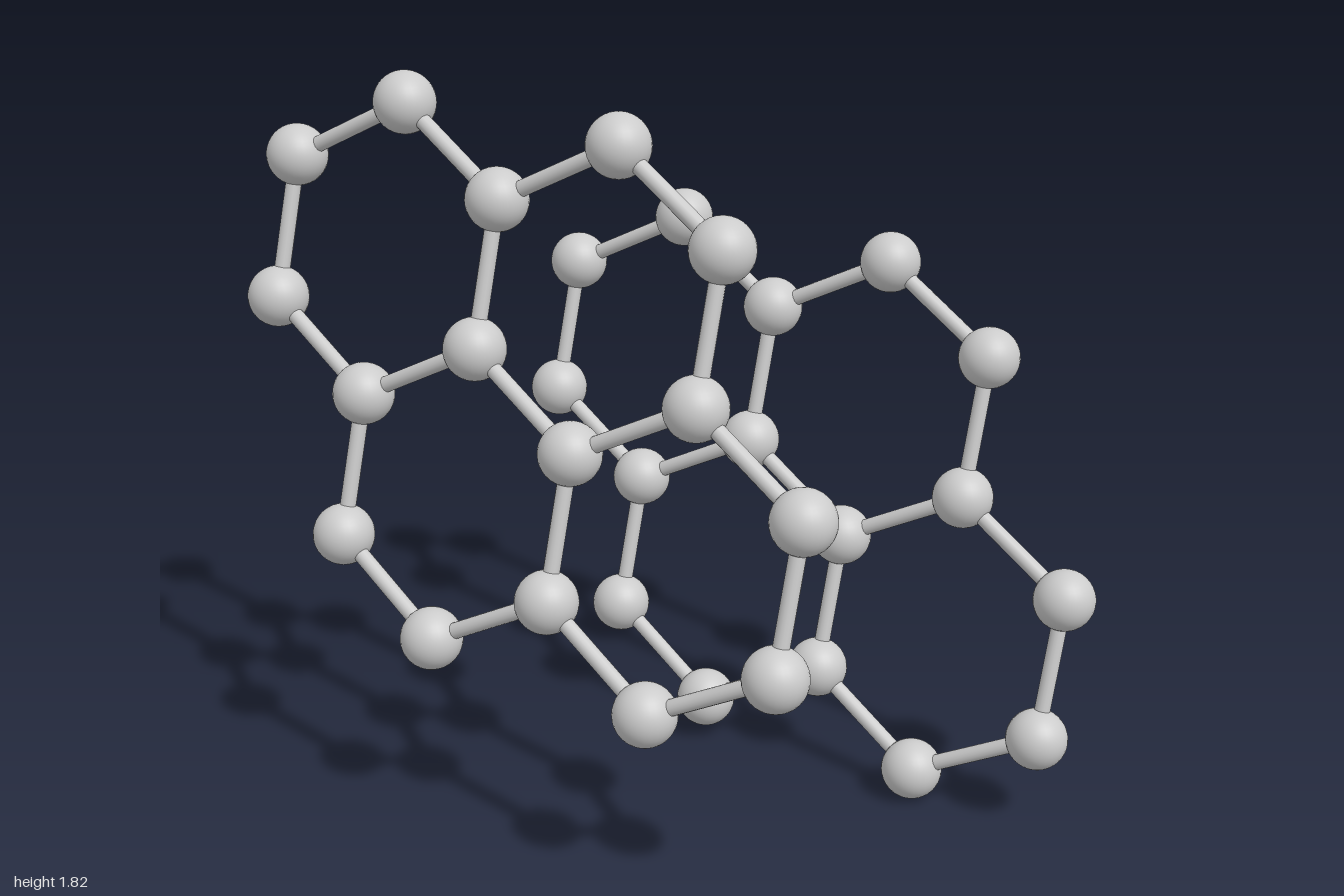
import * as THREE from 'three';

const ATOM_R = 0.077, BOND_R = 0.02, MID_Y = 0.91;

// Lattice of the tilted sheet: first ring centre and the two steps between rings
const FIRST = new THREE.Vector3(-0.606, 1.396 - MID_Y, 0.325);
const U = new THREE.Vector3(0.6235, -0.0265, -0.001);
const V = new THREE.Vector3(0.2955, -0.533, 0.131);

const at = (a, b) => new THREE.Vector3().addScaledVector(U, a).addScaledVector(V, b);

// Six corners of a ring around its centre, in lattice steps (thirds)
const CORNERS = [[1, 1], [-1, 2], [-2, 1], [-1, -1], [1, -2], [2, -1]];

export function createModel() {
  const model = new THREE.Group();
  const material = new THREE.MeshStandardMaterial({ color: 0xcccccc });
  const ball = new THREE.SphereGeometry(ATOM_R, 32, 20);
  const rod = new THREE.CylinderGeometry(BOND_R, BOND_R, 1, 16, 1, true);
  const up = new THREE.Vector3(0, 1, 0);

  // One sheet of four fused rings; sign -1 gives the point-mirrored sheet
  function sheet(name, sign) {
    const group = new THREE.Group();
    group.name = name;
    const atoms = new Map(), bonds = new Set();

    const addAtom = (i, j) => {
      const key = `${i},${j}`;
      if (!atoms.has(key)) {
        const atom = new THREE.Mesh(ball, material);
        atom.name = 'atom';
        atom.position.copy(FIRST).add(at(i / 3, j / 3)).multiplyScalar(sign);
        group.add(atom);
        atoms.set(key, atom.position);
      }
      return key;
    };

    const addBond = (a, b) => {
      const key = [a, b].sort().join('|');
      if (bonds.has(key)) return;
      bonds.add(key);
      const p = atoms.get(a), q = atoms.get(b);
      const dir = q.clone().sub(p);
      const bond = new THREE.Mesh(rod, material);
      bond.name = 'bond';
      bond.position.copy(p).add(q).multiplyScalar(0.5);
      bond.scale.y = dir.length();
      bond.quaternion.setFromUnitVectors(up, dir.normalize());
      group.add(bond);
    };

    for (const [m, n] of [[0, 0], [1, 0], [0, 1], [1, 1]]) {
      const ring = CORNERS.map(([i, j]) => addAtom(3 * m + i, 3 * n + j));
      ring.forEach((key, k) => addBond(key, ring[(k + 1) % 6]));
    }
    group.position.y = MID_Y;
    return group;
  }

  model.add(sheet('frontSheet', 1), sheet('backSheet', -1));
  return model;
}
